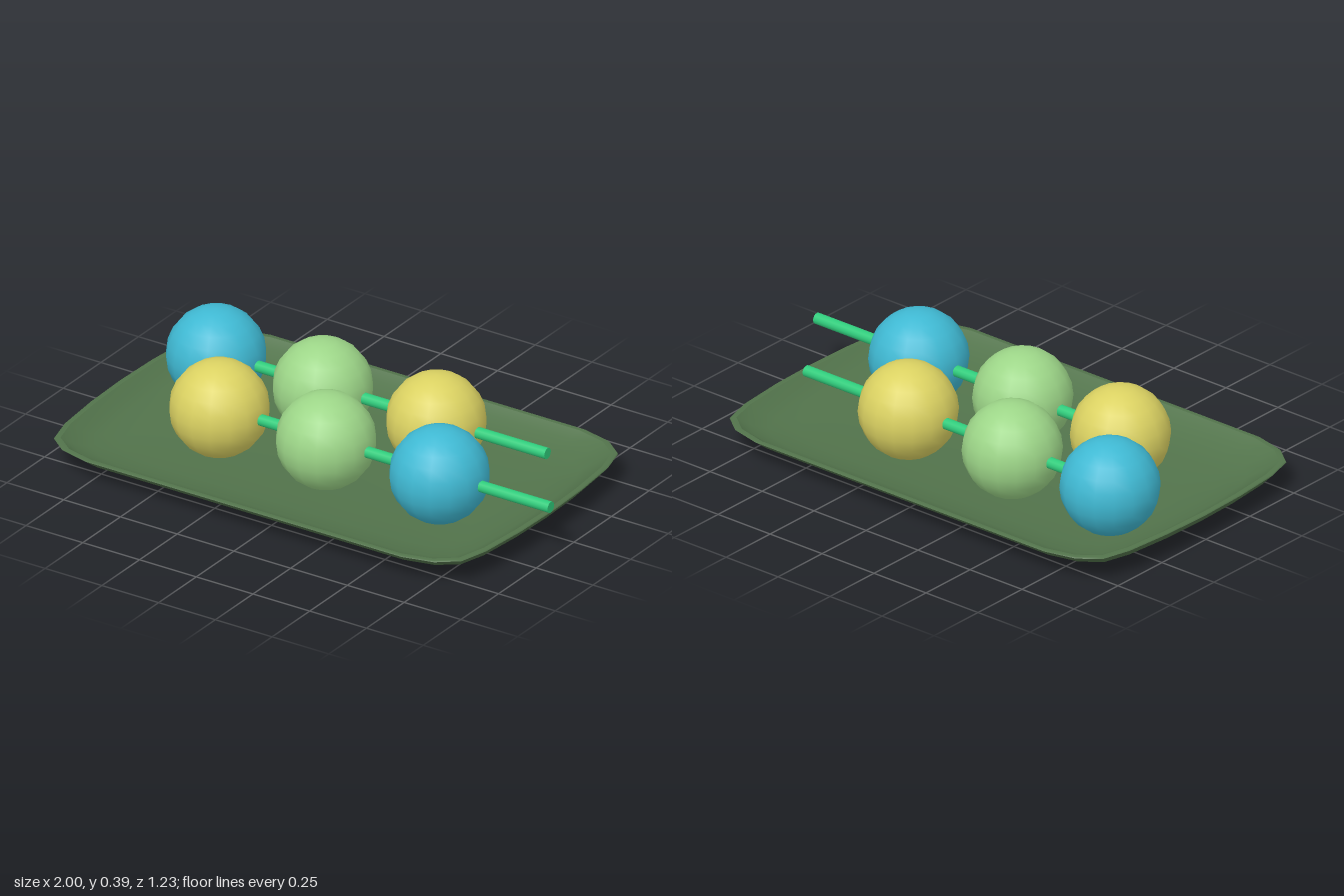
import * as THREE from 'three';

const material = (color) => new THREE.MeshStandardMaterial({ color });

// Rounded-rectangle outline, as fractions of the half width and half depth
function plateOutline() {
  const quarter = [[1, 0], [0.994, 0.33], [0.975, 0.66], [0.942, 0.85], [0.86, 0.95], [0.73, 1], [0.35, 1]];
  const points = [];
  for (let k = 0; k < 4; k++) {
    const sx = k === 0 || k === 3 ? 1 : -1;
    const sz = k < 2 ? 1 : -1;
    const part = k % 2 ? [[0, 1], ...quarter.slice(1).reverse()] : quarter;
    for (const [x, z] of part) points.push([sx * x, sz * z]);
  }
  return points;
}

// Shallow tray: rings of [half width, half depth, height], underside, rim, then inside
function plateGeometry() {
  const rings = [
    [0, 0, 0], [0.72, 0.2, 0.006], [0.8, 0.4, 0.018], [0.87, 0.5, 0.034],
    [0.925, 0.57, 0.065], [0.953, 0.613, 0.1], [0.953, 0.613, 0.1],
    [0.95, 0.61, 0.105], [0.932, 0.595, 0.104], [0.932, 0.595, 0.104],
    [0.895, 0.56, 0.076], [0.85, 0.49, 0.05], [0.78, 0.39, 0.036],
    [0.7, 0.2, 0.026], [0, 0, 0.022],
  ];
  const outline = plateOutline();
  const n = outline.length;
  const positions = [];
  const index = [];
  rings.forEach(([w, d, y], i) => {
    outline.forEach(([x, z], j) => {
      positions.push(x * w, y, z * d);
      if (i === rings.length - 1) return;
      const a = i * n + j;
      const b = i * n + (j + 1) % n;
      index.push(a, a + n, b, b, a + n, b + n);
    });
  });
  const geometry = new THREE.BufferGeometry();
  geometry.setAttribute('position', new THREE.Float32BufferAttribute(positions, 3));
  geometry.setIndex(index);
  geometry.computeVertexNormals();
  return geometry;
}

export function createModel() {
  const model = new THREE.Group();
  const blue = material(0x3fb9d3);
  const green = material(0x9dd688);
  const yellow = material(0xdbd262);
  const stickMaterial = material(0x2fcb7b);

  const plate = new THREE.Mesh(plateGeometry(), material(0x52734b));
  plate.name = 'plate';
  plate.position.x = -0.048;
  model.add(plate);

  // Three dumplings threaded on a stick that pokes out at one end
  const ballGeometry = new THREE.SphereGeometry(0.187, 16, 12);
  const stickLength = 1.455;
  const stickGeometry = new THREE.CylinderGeometry(0.022, 0.022, stickLength, 16).rotateZ(Math.PI / 2);
  function addSkewer(name, x, z, colors) {
    const skewer = new THREE.Group();
    skewer.name = name;
    skewer.position.set(x, 0.207, z);
    [-0.47, 0, 0.5].forEach((offset, i) => {
      const ball = new THREE.Mesh(ballGeometry, colors[i]);
      ball.name = 'dumpling';
      ball.position.x = offset;
      skewer.add(ball);
    });
    const stick = new THREE.Mesh(stickGeometry, stickMaterial);
    stick.name = 'stick';
    stick.position.x = 0.99 - stickLength / 2;
    skewer.add(stick);
    model.add(skewer);
  }
  addSkewer('backSkewer', -0.242, -0.205, [blue, green, yellow]);
  addSkewer('frontSkewer', 0.008, 0.15, [yellow, green, blue]);

  return model;
}
